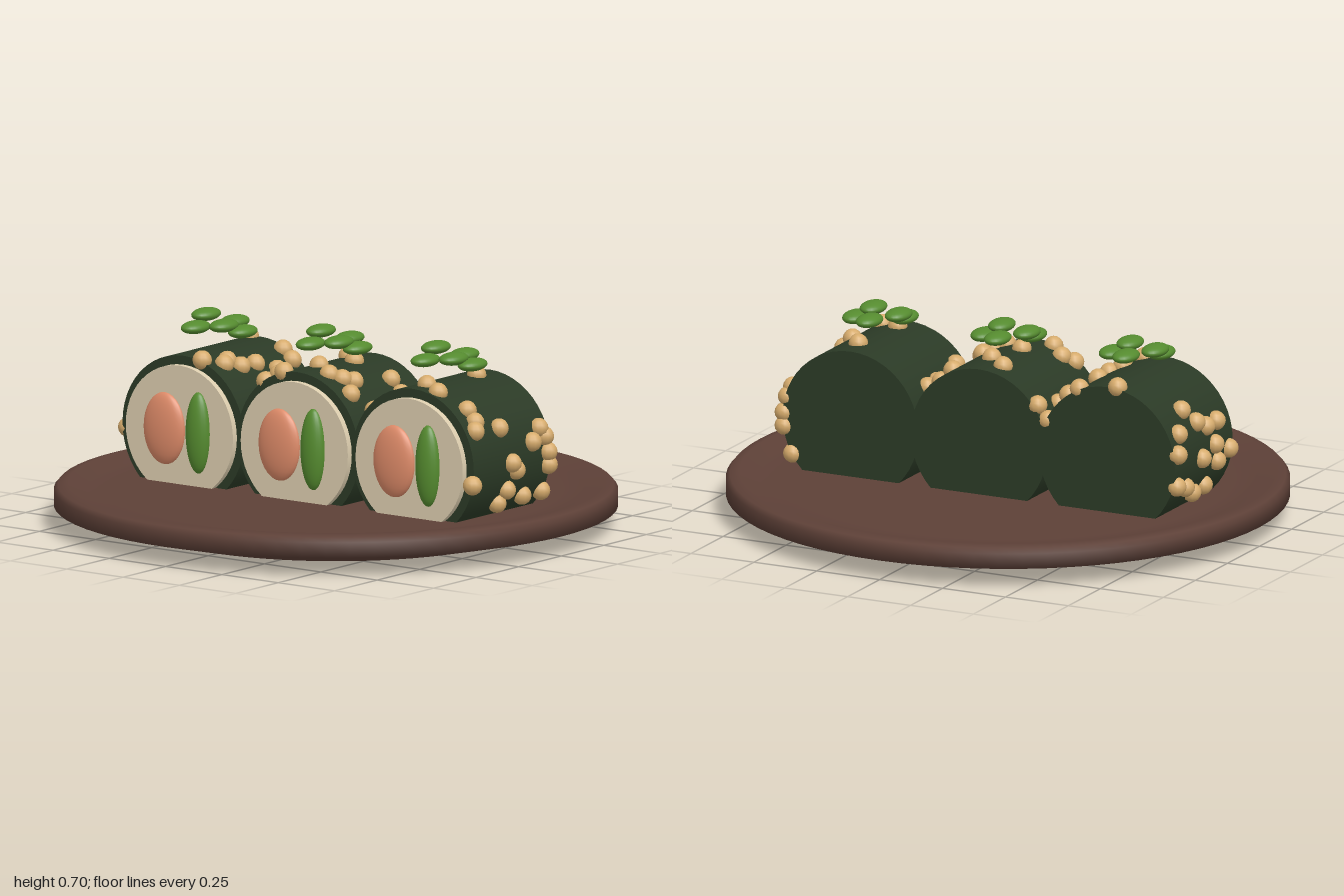
import * as THREE from 'three';

const mat = (name, color) => {
  const m = new THREE.MeshStandardMaterial({ color });
  m.name = name;
  return m;
};

// seeds of each roll: [angle around the roll in degrees, z]
const SEEDS = [
  [[97, -0.21], [63, -0.2], [51, -0.19], [24, -0.2], [20, -0.1], [2, -0.09], [27, -0.07], [46, -0.08],
    [56, 0], [57, 0.08], [66, 0.11], [63, 0.145], [74, 0.21], [21, 0], [170, -0.2], [156, -0.16],
    [141, -0.065], [154, -0.015], [160, 0.04], [160, 0.12], [182, -0.02], [190, 0.1], [200, -0.12],
    [208, 0.05], [185, 0.19], [195, -0.2], [176, 0.08], [210, -0.03]],
  [[101, -0.14], [84, -0.07], [93, 0.08], [128, 0.19], [119, 0.16], [107, 0.2], [73, 0.145], [64, 0.12],
    [48, 0.155], [59, 0.08], [52, -0.1], [38, -0.1], [17, -0.09], [17, -0.015], [5, 0.01],
    [144, -0.2], [150, -0.07], [160, -0.11]],
  [[155, 0.13], [145, 0.155], [150, -0.09], [150, -0.015], [85, -0.12], [90, 0.14], [73, 0.18],
    [48, 0.145], [37, 0.147], [30, 0.17], [28, 0.035], [14, -0.2], [0, 0], [-6, -0.025], [-10, 0.227],
    [-21, 0.01], [-32, 0.035], [12, -0.125], [21, -0.18], [2, -0.21], [-8, -0.215], [-30, -0.215], [-30, -0.105]],
];

// garnish leaves: [x, y, z] from the roll's x
const LEAVES = [[-0.093, 0.68, -0.035], [0, 0.658, -0.08], [-0.075, 0.648, 0.05], [0.09, 0.643, -0.008], [0.05, 0.668, 0.05]];

export function createModel() {
  const group = new THREE.Group();
  const wood = mat('plate brown', 0x5d4037);
  const nori = mat('seaweed green', 0x2b3a26);
  const rice = mat('rice cream', 0xdccdae);
  const salmon = mat('salmon orange', 0xdd8a68);
  const green = mat('leaf green', 0x558b2f);
  const seedTan = mat('seed tan', 0xd6ab6c);

  const add = (parent, name, geometry, material, pos = [0, 0, 0], scale = [1, 1, 1]) => {
    const m = new THREE.Mesh(geometry, material);
    m.name = name;
    m.position.set(...pos);
    m.scale.set(...scale);
    parent.add(m);
    return m;
  };

  // shallow dished plate with a soft lip
  const profile = [[0, 0], [0.7, 0], [1, 0.07], [1, 0.125], [0.985, 0.142], [0.95, 0.15], [0.88, 0.125], [0.8, 0.12], [0, 0.12]]
    .map(([x, y]) => new THREE.Vector2(x, y));
  add(group, 'plate', new THREE.LatheGeometry(profile, 72), wood);

  const ball = new THREE.SphereGeometry(1, 24, 16);
  const seedBall = new THREE.SphereGeometry(0.035, 12, 8);
  const wrap = new THREE.CylinderGeometry(0.27, 0.27, 0.45, 48).rotateX(Math.PI / 2);
  const core = new THREE.CylinderGeometry(0.238, 0.238, 0.1, 48).rotateX(Math.PI / 2);

  SEEDS.forEach((seeds, i) => {
    const roll = new THREE.Group();
    roll.name = 'roll' + (i + 1);
    roll.position.x = (i - 1) * 0.51;
    group.add(roll);

    // wrapper, rice and fillings on the cut face
    add(roll, 'seaweedWrap', wrap, nori, [0, 0.31, -0.003]);
    add(roll, 'riceCore', core, rice, [0, 0.31, 0.195]);
    add(roll, 'salmonFilling', ball, salmon, [-0.065, 0.315, 0.245], [0.09, 0.13, 0.035]);
    add(roll, 'greenFilling', ball, green, [0.085, 0.315, 0.245], [0.05, 0.147, 0.038]);

    // seeds stuck to the wrapper
    for (const [deg, z] of seeds) {
      const a = THREE.MathUtils.degToRad(deg);
      add(roll, 'seed', seedBall, seedTan, [0.272 * Math.cos(a), 0.31 + 0.272 * Math.sin(a), z]);
    }

    // leaves above the roll
    for (const p of LEAVES) add(roll, 'garnishLeaf', ball, green, p, [0.044, 0.023, 0.066]);
  });
  return group;
}
